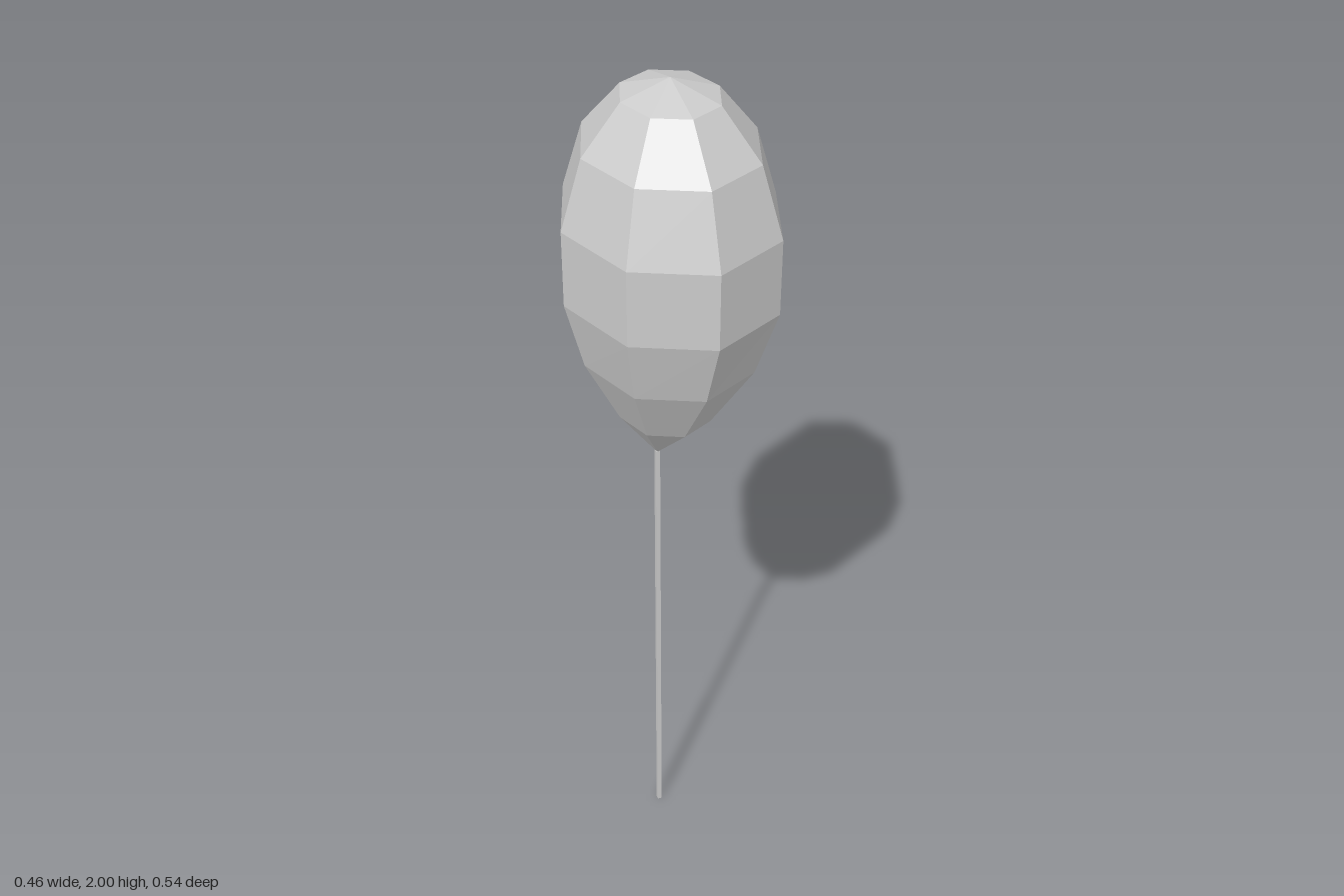
import * as THREE from 'three';

const SIDES = 8;
// Cross-sections from tip to crown: y, x radius, z radius, x centre, z centre
const RINGS = [
  [1.12, 0, 0, -0.032, 0.004],
  [1.235, 0.103, 0.118, -0.014, 0.003],
  [1.385, 0.188, 0.215, -0.004, 0],
  [1.54, 0.232, 0.268, 0, 0],
  [1.71, 0.232, 0.268, 0, 0],
  [1.862, 0.186, 0.215, 0, 0],
  [1.965, 0.103, 0.119, 0, 0],
  [2, 0, 0, 0, 0],
];

// Faceted skin through the oval cross-sections
function balloonGeometry() {
  const positions = [];
  const index = [];
  for (const [y, rx, rz, cx, cz] of RINGS) {
    for (let i = 0; i < SIDES; i++) {
      const a = (i / SIDES) * Math.PI * 2;
      positions.push(cx + rx * Math.sin(a), y, cz + rz * Math.cos(a));
    }
  }
  const last = RINGS.length - 2;
  for (let r = 0; r <= last; r++) {
    for (let i = 0; i < SIDES; i++) {
      const j = (i + 1) % SIDES;
      const a = r * SIDES + i, b = r * SIDES + j;
      const c = b + SIDES, d = a + SIDES;
      if (r > 0) index.push(a, b, c);
      if (r === 0) index.push(a, c, d);
      else if (r < last) index.push(a, c, d);
    }
  }
  const geometry = new THREE.BufferGeometry();
  geometry.setAttribute('position', new THREE.Float32BufferAttribute(positions, 3));
  geometry.setIndex(index);
  const flat = geometry.toNonIndexed();
  flat.computeVertexNormals();
  return flat;
}

export function createModel() {
  const group = new THREE.Group();
  const material = new THREE.MeshStandardMaterial({ color: 0xcccccc, flatShading: true });

  const balloon = new THREE.Mesh(balloonGeometry(), material);
  balloon.name = 'balloon';

  // Thin square string hanging from the tip
  const string = new THREE.Mesh(new THREE.BoxGeometry(0.01, 1.125, 0.01), material);
  string.name = 'string';
  string.position.set(-0.032, 0.5625, 0.003);

  group.add(balloon, string);
  return group;
}
